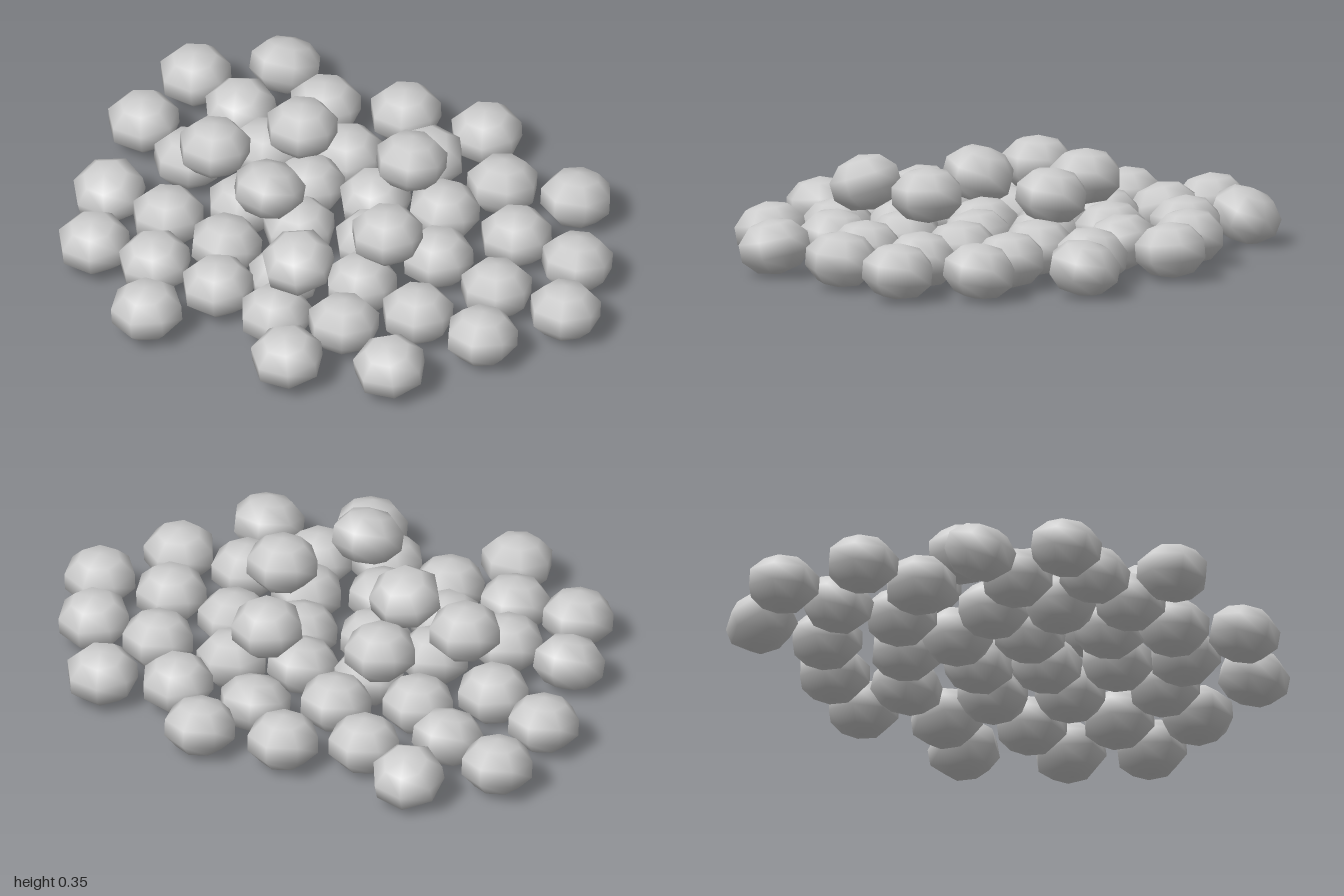
import * as THREE from 'three';

// Each pebble: x, z, and turn in degrees
const BASE = [
  [-0.64, -0.68, -16], [-0.16, -0.67, 0], [0.13, -0.72, 0], [0.58, -0.58, -20],
  [-0.87, -0.47, 0], [-0.41, -0.56, 0], [0.04, -0.5, -20], [0.33, -0.51, -12],
  [-0.64, -0.39, 3], [-0.2, -0.37, -5], [0.52, -0.29, 0], [0.77, -0.28, -3],
  [-0.88, -0.16, -3], [-0.45, -0.25, 0], [0.24, -0.28, 12], [-0.22, -0.16, 8],
  [0.01, -0.21, 0], [-0.64, -0.07, -5], [0.36, -0.05, 8], [0.12, -0.01, 0],
  [0.62, -0.01, -5], [0.88, -0.03, 0], [-0.35, 0.05, 5], [-0.12, 0.06, -8],
  [-0.77, 0.23, 0], [-0.53, 0.24, 0], [-0.28, 0.27, 10], [-0.02, 0.31, -5],
  [0.22, 0.21, 5], [0.47, 0.25, 0], [0.72, 0.24, 10], [-0.66, 0.5, 0],
  [-0.43, 0.48, -5], [-0.18, 0.48, 0], [0.07, 0.51, 6], [0.29, 0.43, -4],
  [0.55, 0.55, -12], [0.23, 0.69, -8], [-0.31, 0.72, 19],
];
const TOP = [
  [-0.3, -0.24, 0], [-0.49, 0.01, 0], [-0.21, 0.11, 5],
  [0.11, -0.28, 0], [0.26, 0.11, 0], [0.09, 0.4, -3],
];

export function createModel() {
  const group = new THREE.Group();
  group.name = 'pebblePile';
  const stone = new THREE.MeshStandardMaterial({ color: 0xcccccc });
  const geometry = new THREE.SphereGeometry(1, 7, 5);

  // Small seeded generator for the tilt of the stones
  let seed = 7;
  const random = () => (seed = (seed * 16807) % 2147483647) / 2147483647;
  const tilt = () => (random() - 0.5) * 0.4;

  function addLayer(name, list, y) {
    const layer = new THREE.Group();
    layer.name = name;
    list.forEach(([x, z, turn], i) => {
      const pebble = new THREE.Mesh(geometry, stone);
      pebble.name = `${name}Pebble${i + 1}`;
      pebble.scale.set(0.128, 0.096, 0.128);
      pebble.rotation.set(tilt(), -THREE.MathUtils.degToRad(90 + turn), tilt());
      pebble.position.set(x, y, z);
      layer.add(pebble);
    });
    group.add(layer);
  }

  addLayer('base', BASE, 0.1);
  addLayer('top', TOP, 0.257);
  return group;
}
